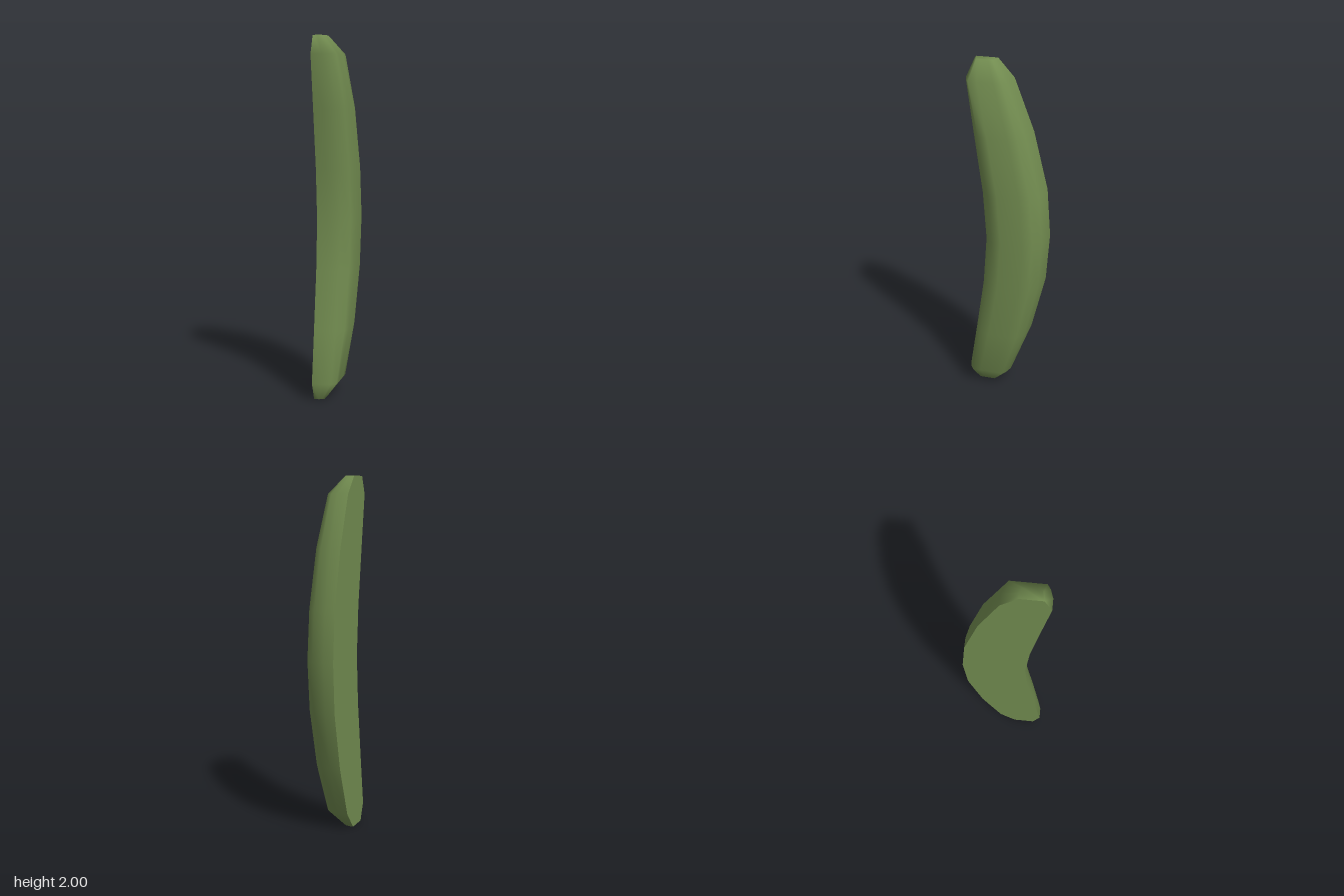
import * as THREE from 'three';

// Rings from the end to the middle: height, front z, back z, depth in x, boxiness
const HALF = [
  [0, 0.19, 0.07, 0.057, 1],
  [0.1, 0.23, -0.02, 0.132, 1],
  [0.39, 0.187, -0.13, 0.173, 0.2],
  [0.72, 0.14, -0.21, 0.188, 0],
  [1, 0.12, -0.23, 0.192, 0],
];
// Quarter outline (x, z) from front rim to outermost side: round and boxy versions
const ROUND = [[0, 1], [0.3, 1], [0.67, 0.91], [0.92, 0.67], [1, 0.357]];
const BOXY = [[0, 1], [0.46, 1], [0.8, 0.88], [1, 0.74], [1, 0.36]];
const FLAT_X = -0.096;

function ringPoints([y, front, back, depth, box]) {
  const mid = (front + back) / 2, half = (front - back) / 2;
  const quarter = ROUND.map((r, k) => r.map((v, c) => v + (BOXY[k][c] - v) * box));
  const outline = [...quarter, ...quarter.map(([x, z]) => [x, -z]).reverse()];
  return outline.map(([x, z]) => [FLAT_X + x * depth, y, mid + z * half]);
}

function meshFrom(name, points, index, material) {
  const g = new THREE.BufferGeometry();
  g.setAttribute('position', new THREE.Float32BufferAttribute(points.flat(), 3));
  g.setIndex(index);
  g.computeVertexNormals();
  const mesh = new THREE.Mesh(g, material);
  mesh.name = name;
  return mesh;
}

export function createModel() {
  const group = new THREE.Group();
  group.name = 'halvedCucumber';
  const material = new THREE.MeshStandardMaterial({ color: 0x728c50 });

  // The upper half mirrors the lower half
  const upper = HALF.slice(0, -1).reverse().map(([y, ...rest]) => [2 - y, ...rest]);
  const rings = [...HALF, ...upper].map(ringPoints);
  const n = rings[0].length, last = rings.length - 1;

  // Rounded skin, closed at both tips
  const skin = rings.flat();
  const skinIndex = [];
  for (let i = 0; i < last; i++) {
    for (let j = 0; j < n - 1; j++) {
      const a = i * n + j, d = a + n;
      skinIndex.push(a, a + 1, d, a + 1, d + 1, d);
    }
  }
  for (let j = 1; j < n - 1; j++) {
    const t = last * n;
    skinIndex.push(0, j + 1, j, t, t + j, t + j + 1);
  }
  group.add(meshFrom('skin', skin, skinIndex, material));

  // Flat cut face between the front and back rims
  const cut = rings.flatMap((r) => [r[0], r[n - 1]]);
  const cutIndex = [];
  for (let i = 0; i < last; i++) {
    const a = i * 2;
    cutIndex.push(a, a + 2, a + 1, a + 1, a + 2, a + 3);
  }
  group.add(meshFrom('cutFace', cut, cutIndex, material));

  return group;
}
